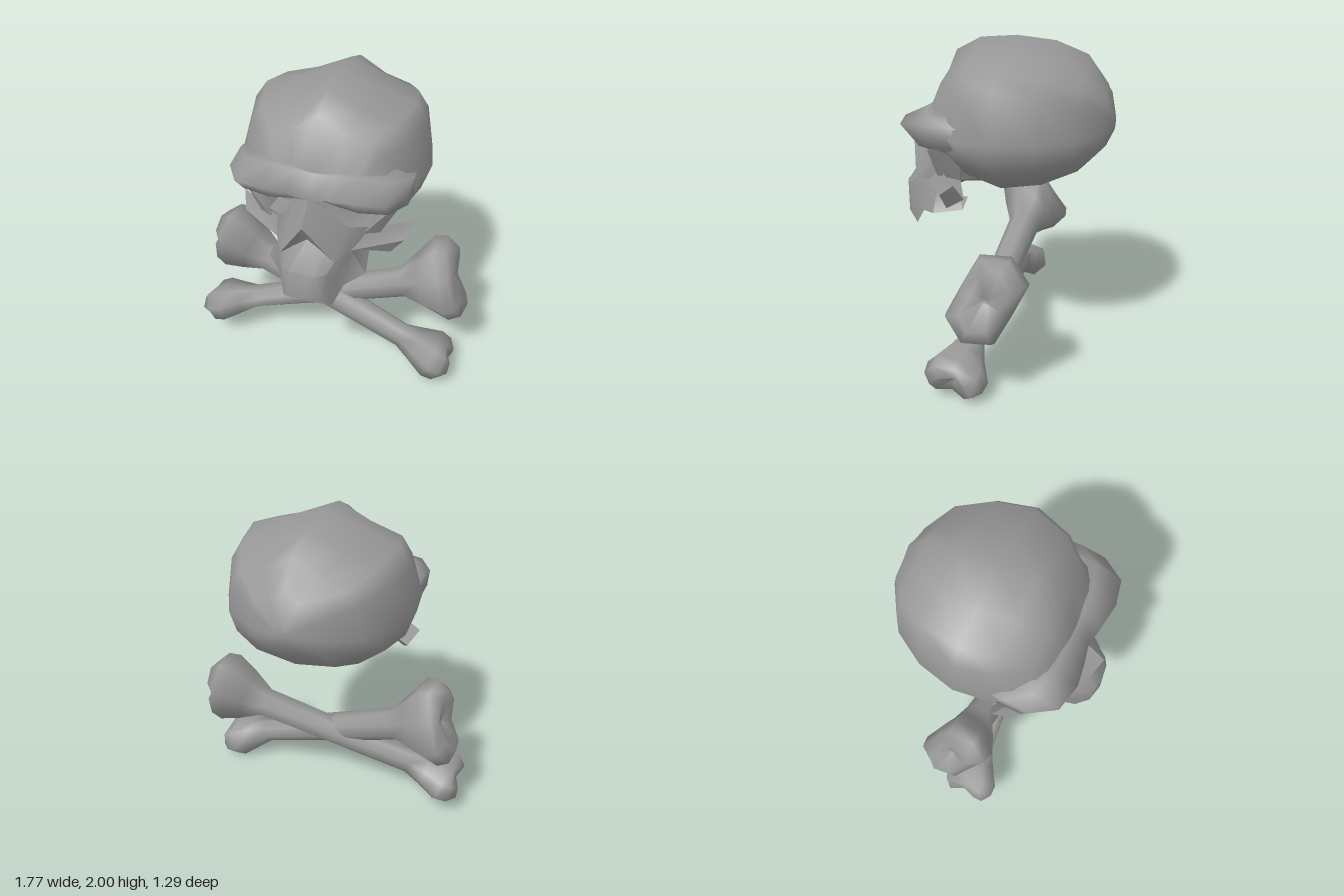
import * as THREE from 'three';
import { toCreasedNormals } from 'three/addons/utils/BufferGeometryUtils.js';

const V = (x, y, z) => new THREE.Vector3(x, y, z);
const solid = new THREE.MeshStandardMaterial({ color: 0x979797 });
const thin = new THREE.MeshStandardMaterial({ color: 0x979797, side: THREE.DoubleSide });

// Skin through rows of points; closed rows are capped and turned outward.
function loft(rows, closed = true) {
  const n = rows[0].length, pts = rows.flat(), index = [];
  const spans = closed ? n : n - 1;
  for (let i = 0; i < rows.length - 1; i++) {
    for (let j = 0; j < spans; j++) {
      const a = i * n + j, b = i * n + (j + 1) % n;
      index.push(a, b, a + n, b, b + n, a + n);
    }
  }
  if (closed) {
    [0, rows.length - 1].forEach((r) => {
      const c = V(0, 0, 0);
      rows[r].forEach((p) => c.addScaledVector(p, 1 / n));
      pts.push(c);
      for (let j = 0; j < n; j++) {
        const a = r * n + j, b = r * n + (j + 1) % n;
        index.push(...(r === 0 ? [b, a, pts.length - 1] : [a, b, pts.length - 1]));
      }
    });
    let volume = 0;
    for (let i = 0; i < index.length; i += 3) {
      volume += pts[index[i]].dot(V(0, 0, 0).crossVectors(pts[index[i + 1]], pts[index[i + 2]]));
    }
    if (volume < 0) index.reverse();
  }
  const g = new THREE.BufferGeometry().setFromPoints(pts);
  g.setIndex(index);
  g.computeVertexNormals();
  return g;
}

function add(group, name, geometry, material = solid) {
  const mesh = new THREE.Mesh(geometry, material);
  mesh.name = name;
  group.add(mesh);
}

const points = (list, s = 1) => list.map(([x, y, z]) => V(s * x, y, z));
// Complete a centre-to-side half row across x = 0
const mirrorRow = (half) => [...points(half.slice(1), -1).reverse(), ...points(half)];

function cranium() {
  const half = [[0, 1], [0.4, 0.86], [0.79, 0.72], [0.92, 0.5], [1, -0.08], [0.9, -0.5], [0.6, -0.85], [0, -1]];
  const outline = [...half, ...half.slice(1, -1).reverse().map(([x, y]) => [-x, y])];
  // z, upper half width, lower half width, top, bottom, shoulder height
  const rings = [
    [-0.645, 0.05, 0.05, 1.57, 1.48, 1], [-0.6, 0.21, 0.21, 1.75, 1.38, 0.9],
    [-0.48, 0.4, 0.4, 1.91, 1.25, 0.88], [-0.29, 0.51, 0.51, 1.98, 1.16, 0.93],
    [-0.06, 0.56, 0.56, 2, 1.12, 1], [0.16, 0.49, 0.53, 1.98, 1.19, 0.93],
    [0.31, 0.36, 0.45, 1.9, 1.36, 0.87], [0.4, 0.3, 0.36, 1.62, 1.45, 0.87],
  ];
  return loft(rings.map(([z, upper, lower, top, bottom, shoulder]) => outline.map(([x, y]) => {
    const drop = y > 0 && y < 1 ? shoulder : 1;
    return V(x * (y > 0 ? upper : lower), 1.52 + y * drop * (y > 0 ? top - 1.52 : 1.52 - bottom), z);
  })));
}

function brow() {
  // x, then z and y pairs: back top, top, front edge, under, back under
  const half = [
    [0, 0.25, 1.68, 0.41, 1.6, 0.5, 1.49, 0.42, 1.46, 0.2, 1.38],
    [0.12, 0.25, 1.68, 0.41, 1.61, 0.525, 1.53, 0.42, 1.43, 0.2, 1.36],
    [0.26, 0.22, 1.68, 0.4, 1.62, 0.545, 1.55, 0.42, 1.41, 0.2, 1.35],
    [0.42, 0.1, 1.63, 0.36, 1.6, 0.51, 1.54, 0.4, 1.42, 0.15, 1.36],
    [0.51, 0.04, 1.55, 0.22, 1.57, 0.37, 1.54, 0.33, 1.46, 0.04, 1.43],
  ];
  const ring = (r, s) => [1, 3, 5, 7, 9].map((k) => V(s * r[0], r[k + 1], r[k]));
  return loft([...half.slice(1).reverse().map((r) => ring(r, -1)), ...half.map((r) => ring(r, 1))]);
}

// Bone: oval rings along a shaft, flaring into a two-lobed knob at each end.
function bone(ends) {
  const axis = ends[1].c.clone().sub(ends[0].c).normalize();
  const sides = 8, rows = [[], []];
  // offset outward, lobe scale, thickness scale, lobe lift
  const stations = [
    [-0.25, 0, 0, 0], [-0.12, 0.66, 0.8, 0], [0, 1, 1, 0.01],
    [0.07, 0.95, 0.92, 0.02], [0.1, 0.66, 0.55, 0.05], [0.07, 0.06, 0.1, 0],
  ];
  ends.forEach((e, k) => {
    const out = axis.clone().multiplyScalar(k ? 1 : -1);
    const l = e.lobe.clone().addScaledVector(axis, -e.lobe.dot(axis)).normalize();
    const n = V(0, 0, 0).crossVectors(axis, l);
    for (const [u, ls, ns, lift] of stations) {
      const row = [];
      for (let i = 0; i < sides; i++) {
        const a = i / sides * Math.PI * 2, c = Math.cos(a), s = Math.sin(a);
        const waist = ns ? 0.85 + 0.45 * Math.abs(c) : 1;
        row.push(e.c.clone()
          .addScaledVector(l, c * (ls * e.width || e.shaft))
          .addScaledVector(n, s * waist * (ns * e.thick || e.shaft))
          .addScaledVector(out, u * e.size + lift * Math.abs(c)));
      }
      rows[k].push(row);
    }
  });
  // Line up the two ends so the shaft does not twist
  const from = rows[0][0], to = rows[1][0];
  const along = axis.clone().multiplyScalar(to[0].clone().sub(from[0]).dot(axis));
  let best = 0, least = Infinity;
  for (let i = 0; i < sides; i++) {
    const d = to[i].distanceTo(from[0].clone().add(along));
    if (d < least) { least = d; best = i; }
  }
  const turned = rows[1].map((r) => [...r.slice(best), ...r.slice(0, best)]);
  return loft([...rows[0].reverse(), ...turned]);
}

export function createModel() {
  const model = new THREE.Group();
  model.name = 'skullAndCrossbones';
  const skull = new THREE.Group();
  skull.name = 'skull';
  skull.position.x = 0.02;
  model.add(skull);

  add(skull, 'cranium', cranium());
  add(skull, 'brow', brow());

  // Back of the eye sockets, their floors and the nose bridge
  const bridge = [
    [[0, 1.5, 0.32], [0.12, 1.44, 0.28], [0.27, 1.42, 0.23], [0.42, 1.42, 0.18]],
    [[0, 1.48, 0.38], [0.09, 1.4, 0.33], [0.2, 1.28, 0.25], [0.32, 1.25, 0.18]],
    [[0, 1.49, 0.5], [0.09, 1.43, 0.46], [0.2, 1.3, 0.42], [0.3, 1.27, 0.34]],
    [[0, 1.38, 0.61], [0.16, 1.13, 0.54], [0.2, 1.14, 0.47], [0.3, 1.17, 0.3]],
  ];
  add(skull, 'noseBridge', toCreasedNormals(loft(bridge.map(mirrorRow), false), 0.8), thin);

  // Upper jaw: underside of the nose, front, tooth edge, palate
  const jaw = [
    [[0, 1.38, 0.61], [0.08, 1.255, 0.575], [0.16, 1.13, 0.54], [0.18, 1.17, 0.46], [0.2, 1.19, 0.38], [0.2, 1.21, 0.25]],
    [[0, 1.25, 0.53], [0.08, 1.19, 0.53], [0.16, 1.125, 0.535], [0.19, 1.14, 0.46], [0.21, 1.16, 0.38], [0.21, 1.18, 0.25]],
    [[0, 1.08, 0.64], [0.08, 1.08, 0.63], [0.13, 1.08, 0.6], [0.19, 1.09, 0.5], [0.22, 1.09, 0.38], [0.22, 1.08, 0.24]],
    [[0, 0.905, 0.645], [0.1, 0.88, 0.62], [0.15, 0.82, 0.55], [0.2, 0.93, 0.48], [0.3, 0.96, 0.38], [0.27, 0.99, 0.2]],
    [[0, 1, 0.5], [0.06, 1, 0.5], [0.1, 1, 0.46], [0.12, 1, 0.42], [0.15, 1.02, 0.36], [0.17, 1.04, 0.2]],
  ];
  add(skull, 'upperJaw', toCreasedNormals(loft(jaw.map(mirrorRow), false), 0.8), thin);

  for (const [s, label] of [[1, 'left'], [-1, 'right']]) {
    const cheek = [
      [[0.18, 1.26, 0.42], [0.18, 1.15, 0.46], [0.18, 1.13, 0.4], [0.18, 1.2, 0.25]],
      [[0.53, 1.24, 0.16], [0.49, 1.16, 0.26], [0.41, 1.05, 0.25], [0.47, 1.14, 0.12]],
    ];
    add(skull, label + 'Cheekbone', toCreasedNormals(loft(cheek.map((r) => points(r, s))), 0.5));
    const pillar = [
      [[0.46, 1.42, 0.32], [0.4, 1.39, 0.36], [0.38, 1.42, 0.18], [0.46, 1.42, 0.15]],
      [[0.36, 1.23, 0.32], [0.28, 1.24, 0.37], [0.28, 1.22, 0.18], [0.38, 1.22, 0.17]],
    ];
    add(skull, label + 'SocketPillar', toCreasedNormals(loft(pillar.map((r) => points(r, s))), 0.5));
  }

  // Crossed bones
  add(model, 'frontBone', bone([
    { c: V(-0.665, 0.705, -0.005), lobe: V(0.1, 0.24, 0.13), width: 0.275, thick: 0.19, shaft: 0.105, size: 1 },
    { c: V(0.71, 0.145, 0.1), lobe: V(0.03, 0.03, 0.18), width: 0.19, thick: 0.13, shaft: 0.08, size: 0.9 },
  ]));
  add(model, 'backBone', bone([
    { c: V(0.695, 0.645, -0.08), lobe: V(-0.1, 0.24, -0.12), width: 0.28, thick: 0.195, shaft: 0.1, size: 1 },
    { c: V(-0.74, 0.22, 0.1), lobe: V(-0.02, 0.05, 0.18), width: 0.19, thick: 0.125, shaft: 0.08, size: 0.9 },
  ]));
  return model;
}
